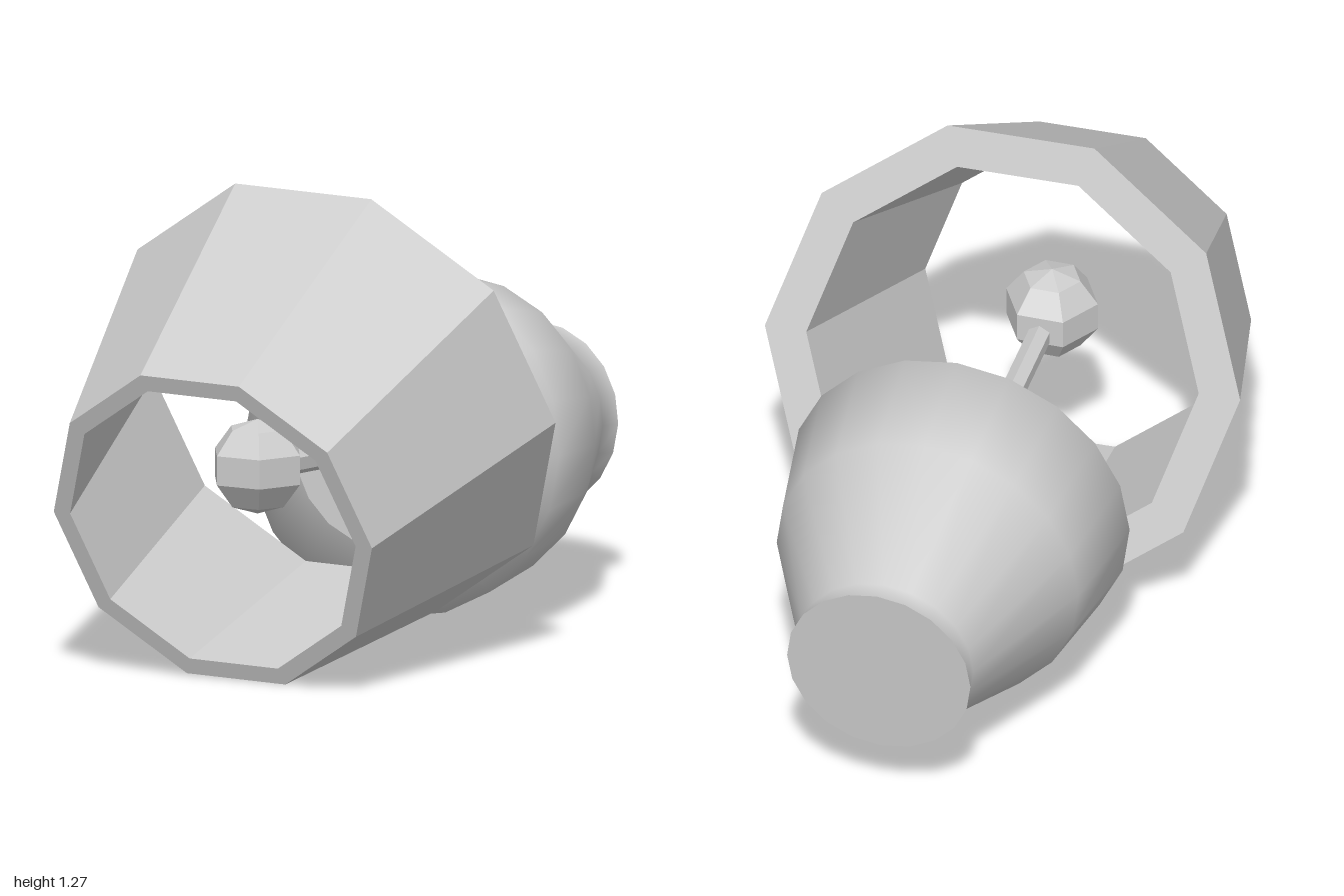
import * as THREE from 'three';

const grey = (opts = {}) => new THREE.MeshStandardMaterial({ color: 0xcccccc, ...opts });

function addMesh(parent, name, geometry, material) {
  const mesh = new THREE.Mesh(geometry, material);
  mesh.name = name;
  parent.add(mesh);
  return mesh;
}

const profile = (pairs) => pairs.map(([r, y]) => new THREE.Vector2(r, y));

export function createModel() {
  const model = new THREE.Group();
  model.name = 'lyingLamp';
  const smooth = grey();
  const faceted = grey({ flatShading: true });

  // Base and stem share one axis, tipped slightly upwards
  const stand = new THREE.Group();
  stand.name = 'stand';
  stand.position.set(-0.003, 0.43, -0.98);
  stand.rotation.x = Math.PI / 2 - 0.075;
  model.add(stand);

  // Rounded pot-shaped base
  const segments = 20;
  addMesh(stand, 'baseBody', new THREE.LatheGeometry(profile([
    [0.255, 0], [0.243, 0.065], [0.42, 0.446], [0.47, 0.747], [0.28, 0.842],
  ]), segments), smooth);
  const foot = addMesh(stand, 'baseFoot', new THREE.CircleGeometry(0.255, segments), smooth);
  foot.rotation.x = Math.PI / 2;
  const top = addMesh(stand, 'baseTop', new THREE.CircleGeometry(0.28, segments), smooth);
  top.rotation.x = -Math.PI / 2;
  top.position.y = 0.842;

  // Thin six-sided stem reaching into the bulb
  const stem = addMesh(stand, 'stem', new THREE.CylinderGeometry(0.033, 0.033, 0.72, 6), faceted);
  stem.position.y = 1.19;

  // Low-poly bulb
  const bulb = addMesh(model, 'bulb', new THREE.SphereGeometry(0.134, 6, 5), faceted);
  bulb.scale.y = 0.955;
  bulb.position.set(-0.005, 0.556, 0.59);

  // Ten-sided thick-walled shade, open at both ends
  const shade = addMesh(model, 'shade', new THREE.LatheGeometry(profile([
    [0.66, 0], [0.477, 0.74], [0.428, 0.74], [0.545, 0], [0.66, 0],
  ]), 10, Math.PI / 2), faceted);
  shade.position.set(0, 0.67, 0.155);
  shade.rotation.set(Math.PI / 2 + 0.333, -0.018, 0);

  return model;
}
